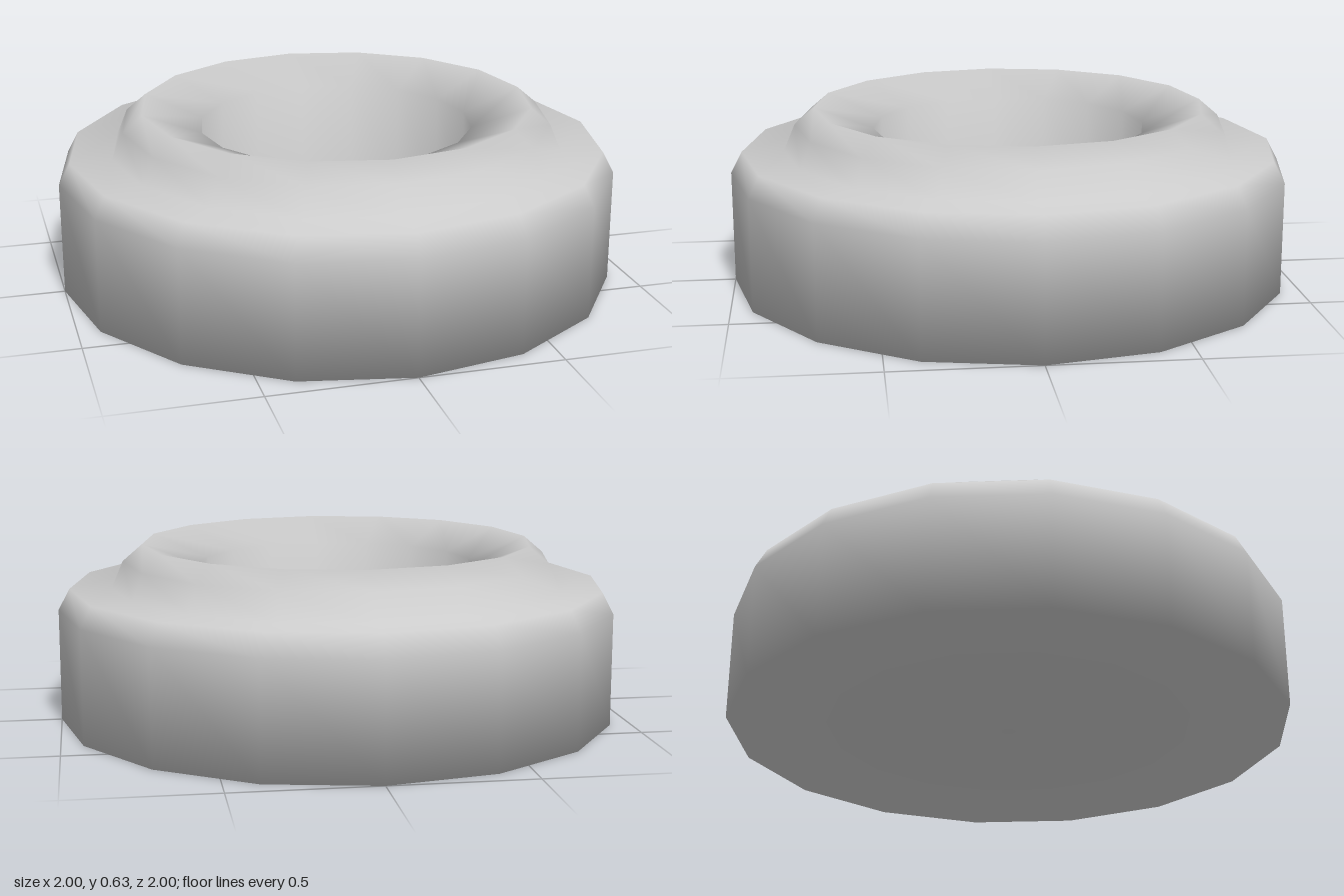
import * as THREE from 'three';

export function createModel() {
  const group = new THREE.Group();
  group.name = 'steppedRingDish';
  const material = new THREE.MeshStandardMaterial({ color: 0xcccccc });

  // One closed, smooth-shaded profile, from the underside round to the well floor
  const profile = [
    [0, 0], [1, 0],                           // underside
    [1, 0.4], [0.96, 0.475],                  // outer wall and bevel
    [0.81, 0.475], [0.77, 0.57], [0.7, 0.63], // shoulder and raised collar
    [0.49, 0.55],                             // sloping inner lip
    [0.49, 0.18], [0.38, 0.12], [0, 0.12],    // well wall and floor
  ].map(([r, y]) => new THREE.Vector2(r, y));

  const body = new THREE.Mesh(new THREE.LatheGeometry(profile, 16), material);
  body.name = 'dishBody';
  group.add(body);
  return group;
}
